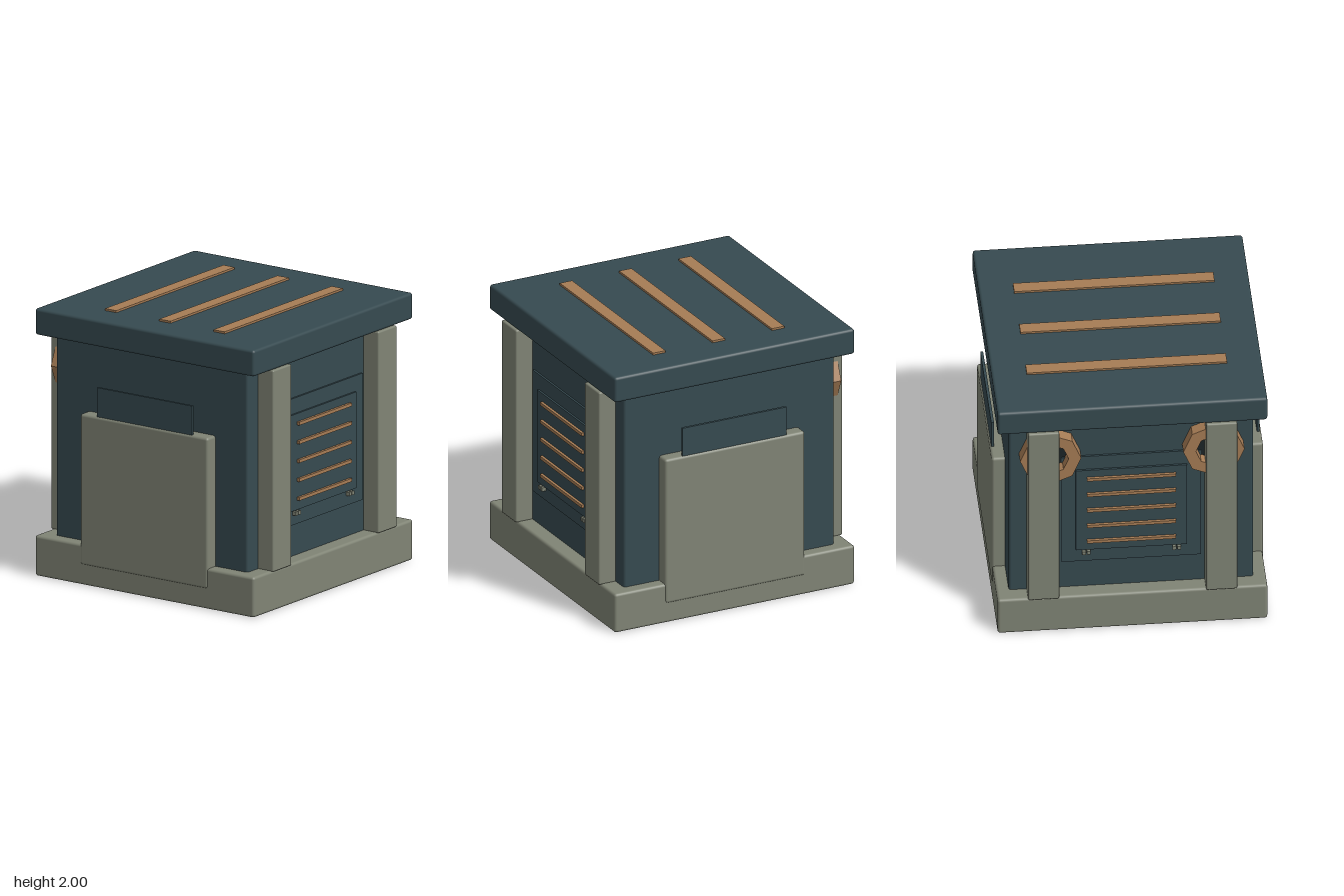
import * as THREE from 'three';
import { RoundedBoxGeometry } from 'three/addons/geometries/RoundedBoxGeometry.js';

const mat = (name, color, flatShading = false) => {
  const m = new THREE.MeshStandardMaterial({ color, flatShading });
  m.name = name;
  return m;
};

export function createModel() {
  const teal = mat('dark teal', 0x364a50);
  const stone = mat('grey stone', 0x808475);
  const copper = mat('copper', 0xa67c55);
  const shadow = mat('near black', 0x1c2427);
  const model = new THREE.Group();

  const add = (parent, name, geometry, material, x, y, z) => {
    const mesh = new THREE.Mesh(geometry, material);
    mesh.name = name;
    mesh.position.set(x, y, z);
    parent.add(mesh);
    return mesh;
  };
  // Boxes given by their extents along each axis
  const box = (parent, name, material, [x0, x1], [y0, y1], [z0, z1], r = 0) => {
    const w = x1 - x0, h = y1 - y0, d = z1 - z0;
    const g = r ? new RoundedBoxGeometry(w, h, d, 2, r) : new THREE.BoxGeometry(w, h, d);
    return add(parent, name, g, material, (x0 + x1) / 2, (y0 + y1) / 2, (z0 + z1) / 2);
  };

  // Main masses
  box(model, 'base', stone, [-0.97, 0.97], [0, 0.3], [-0.97, 0.97], 0.02);
  box(model, 'body', teal, [-0.88, 0.88], [0.25, 1.83], [-0.85, 0.85], 0.02);
  box(model, 'lid', teal, [-0.97, 0.97], [1.79, 1.985], [-0.97, 0.97], 0.02);
  for (const z of [-0.48, 0, 0.48])
    box(model, 'lidStrip', copper, [-0.72, 0.72], [1.975, 2], [z - 0.05, z + 0.05]);

  // Front and back: pillars, louvred panel and its small studs
  const makeFace = (name) => {
    const face = new THREE.Group();
    face.name = name;
    model.add(face);
    for (const s of [-1, 1]) {
      const px = s * 0.64;
      box(face, 'pillar', stone, [px - 0.112, px + 0.112], [0.295, 1.792], [0.8, 0.985], 0.012);
      const sx = s * 0.325;
      for (const o of [-0.017, 0.017])
        box(face, 'panelStud', stone, [sx + o - 0.013, sx + o + 0.013], [0.61, 0.638], [0.85, 0.895]);
    }
    box(face, 'outerPanel', teal, [-0.5, 0.5], [0.535, 1.475], [0.84, 0.865]);
    box(face, 'innerPanel', teal, [-0.4, 0.4], [0.645, 1.36], [0.85, 0.88]);
    for (let i = 0; i < 5; i++) {
      const y = 0.727 + i * 0.14;
      box(face, 'louvre', copper, [-0.32, 0.32], [y - 0.012, y + 0.012], [0.87, 0.9]);
    }
    return face;
  };
  makeFace('frontFace');
  const back = makeFace('backFace');
  back.rotation.y = Math.PI;

  // Eight-sided rings threaded through the back pillars
  const octagon = (path, r) => {
    const pts = [];
    for (let i = 0; i < 8; i++) {
      const a = (i * Math.PI) / 4;
      pts.push(new THREE.Vector2(r * Math.cos(a), r * Math.sin(a)));
    }
    return path.setFromPoints(pts);
  };
  const ringShape = octagon(new THREE.Shape(), 0.22);
  ringShape.holes.push(octagon(new THREE.Path(), 0.13));
  const ringGeo = new THREE.ExtrudeGeometry(ringShape, { depth: 0.105, bevelEnabled: false });
  const discGeo = new THREE.CylinderGeometry(0.135, 0.135, 0.009, 16).rotateX(Math.PI / 2);
  for (const s of [-1, 1]) {
    add(back, 'ring', ringGeo, copper, s * 0.587, 1.525, 0.84);
    add(back, 'ringOpening', discGeo, shadow, s * 0.587, 1.525, 0.853);
  }

  // Sides: thick slab with a thin plate standing in it
  for (const s of [-1, 1]) {
    const side = new THREE.Group();
    side.name = s > 0 ? 'leftSide' : 'rightSide';
    side.rotation.y = s > 0 ? 0 : Math.PI;
    model.add(side);
    box(side, 'sideSlab', stone, [0.86, 0.976], [0.15, 1.27], [-0.565, 0.565], 0.02);
    box(side, 'sidePlate', teal, [0.945, 0.965], [1.2, 1.485], [-0.42, 0.42]);
  }
  return model;
}
